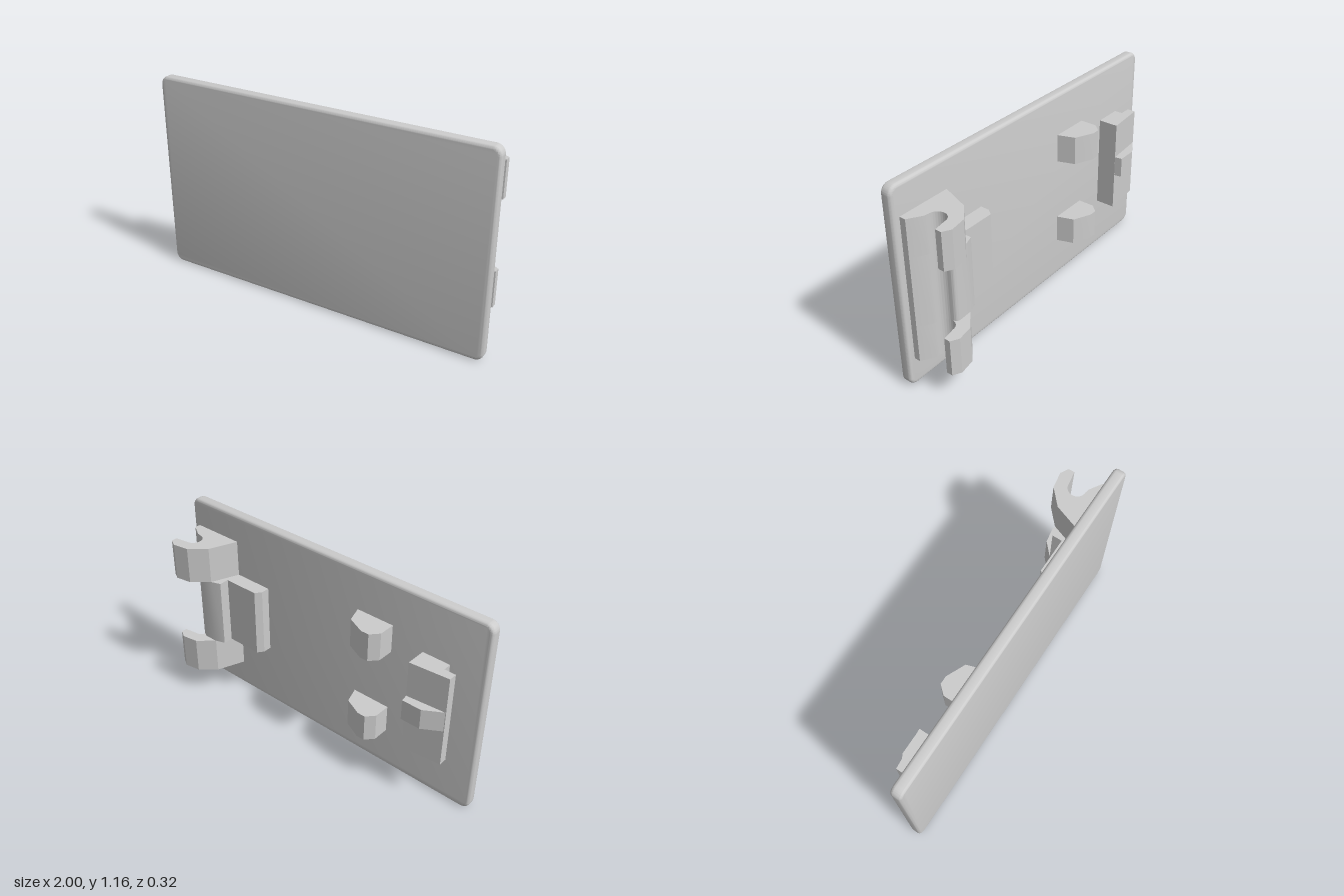
import * as THREE from 'three';
import { toCreasedNormals } from 'three/addons/utils/BufferGeometryUtils.js';

const material = new THREE.MeshStandardMaterial({ color: 0xcccccc });
const H = 1.165, BACK = 0.095;

function addMesh(group, name, geometry) {
  const mesh = new THREE.Mesh(toCreasedNormals(geometry, 0.45), material);
  mesh.name = name;
  group.add(mesh);
}

// Extrudes a plan outline (shape y = -z) upwards from y0 to y1
function addPrism(group, name, shape, y0, y1) {
  const geo = new THREE.ExtrudeGeometry(shape, { depth: y1 - y0, bevelEnabled: false, curveSegments: 20 });
  geo.rotateX(-Math.PI / 2).translate(0, y0, 0);
  addMesh(group, name, geo);
}

function planShape(points) {
  return new THREE.Shape(points.map(([x, z]) => new THREE.Vector2(x, -z)));
}

// Lower lip shared by the hooks and the bridge between them
function addLip(shape) {
  shape.lineTo(0.885, -0.015);
  shape.lineTo(0.957, -0.06);
  shape.lineTo(0.957, -BACK);
}

export function createModel() {
  const group = new THREE.Group();

  // Face plate with rounded corners and softened edges
  const b = 0.018, w = 1 - b, r = 0.05 - b, top = H - b;
  const plate = new THREE.Shape();
  plate.absarc(w - r, b + r, r, -Math.PI / 2, 0);
  plate.absarc(w - r, top - r, r, 0, Math.PI / 2);
  plate.absarc(-w + r, top - r, r, Math.PI / 2, Math.PI);
  plate.absarc(-w + r, b + r, r, Math.PI, Math.PI * 1.5);
  const plateGeo = new THREE.ExtrudeGeometry(plate, {
    depth: 0.065 - 2 * b, bevelSize: b, bevelThickness: b, bevelSegments: 6, curveSegments: 8,
  });
  plateGeo.translate(0, 0, BACK + b);
  addMesh(group, 'plate', plateGeo);

  // Pair of hooks with a round channel
  const hook = planShape([[0.65, BACK], [0.71, -0.067], [0.798, -0.147], [0.89, -0.162],
    [0.935, -0.137], [0.935, -0.102], [0.86, -0.09]]);
  hook.absarc(0.86, 0.04, 0.05, Math.PI / 2, Math.PI * 1.5, false);
  addLip(hook);
  addPrism(group, 'lowerHook', hook, 0.165, 0.38);
  addPrism(group, 'upperHook', hook, 0.787, 1.0);

  // Stepped bridge that carries the channel between the hooks
  const bridge = planShape([[0.417, BACK], [0.417, 0.045], [0.443, 0.01], [0.655, 0.01],
    [0.655, -0.048], [0.71, -0.067], [0.785, -0.07]]);
  bridge.quadraticCurveTo(0.81, 0.066, 0.81, 0.04);
  bridge.absarc(0.86, 0.04, 0.05, Math.PI, Math.PI * 1.5, false);
  addLip(bridge);
  addPrism(group, 'bridge', bridge, 0.38, 0.787);

  // Two faceted pegs
  const peg = planShape([[-0.447, BACK], [-0.447, 0], [-0.405, -0.047], [-0.358, -0.047],
    [-0.255, 0], [-0.223, BACK]]);
  for (const [name, y] of [['lowerPeg', 0.24], ['upperPeg', 0.765]]) {
    addPrism(group, name, peg, y, y + 0.162);
  }

  // Undercut clip bar and its raised centre tab
  const clip = planShape([[-0.635, BACK], [-0.795, BACK], [-0.795, 0.048], [-0.86, 0.048],
    [-0.86, 0], [-0.635, -0.02]]);
  addPrism(group, 'clipBar', clip, 0.31, 0.855);
  const tab = planShape([[-0.635, -0.015], [-0.86, 0.002], [-0.755, -0.062], [-0.642, -0.062]]);
  addPrism(group, 'clipTab', tab, 0.53, 0.65);

  return group;
}
